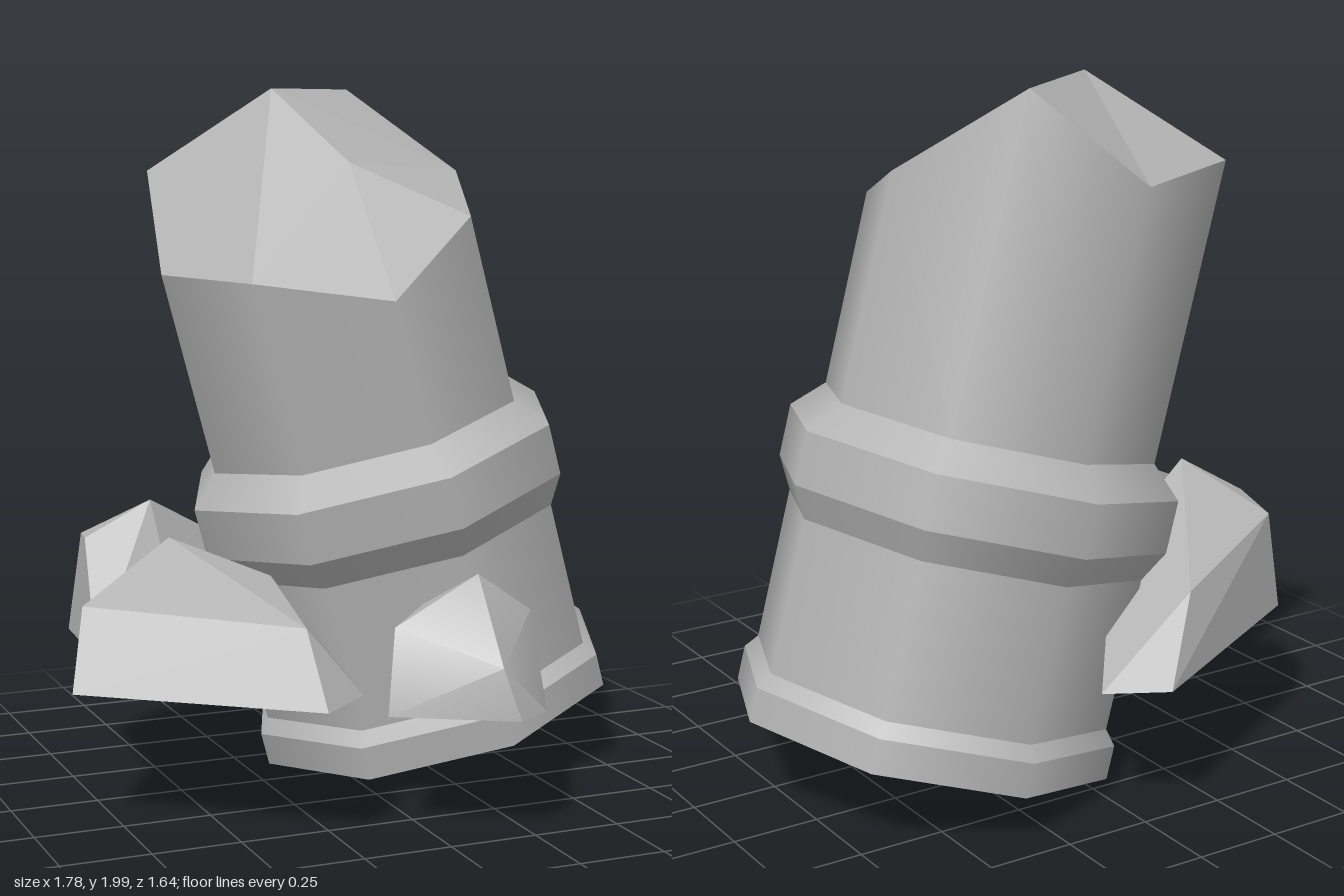
import * as THREE from 'three';
import { toCreasedNormals } from 'three/addons/utils/BufferGeometryUtils.js';
import { ConvexGeometry } from 'three/addons/geometries/ConvexGeometry.js';

const stone = new THREE.MeshStandardMaterial({ color: 0xb4b4b4, side: THREE.DoubleSide });
stone.name = 'grey stone';

const SIDES = 8;
const SHAFT_RADIUS = 0.482;

// Heights of the broken rim, starting at the front and going round by the left side
const RIM = [1.315, 1.452, 1.537, 1.823, 1.645, 1.757, 1.5, 1.456];

function addMesh(parent, name, geometry) {
  const mesh = new THREE.Mesh(geometry, stone);
  mesh.name = name;
  parent.add(mesh);
  return mesh;
}

// One ring of the column: smooth around, sharp against its neighbours
function band(r0, y0, r1, y1) {
  return new THREE.LatheGeometry([new THREE.Vector2(r0, y0), new THREE.Vector2(r1, y1)], SIDES);
}

// Upper shaft whose top edge follows the broken rim
function brokenShaft() {
  const geometry = band(SHAFT_RADIUS, 0.9, SHAFT_RADIUS, 1.5);
  const position = geometry.attributes.position;
  for (let i = 0; i <= SIDES; i++) position.setY(i * 2 + 1, RIM[i % SIDES]);
  return geometry;
}

// Faceted break: a fan from the rim to a peak and a lower step
function brokenTop() {
  const rim = RIM.map((y, i) => {
    const a = (i / SIDES) * Math.PI * 2;
    return new THREE.Vector3(Math.sin(a) * SHAFT_RADIUS, y, Math.cos(a) * SHAFT_RADIUS);
  });
  const peak = new THREE.Vector3(0.015, 1.911, -0.1);
  const step = new THREE.Vector3(0.097, 1.672, 0.15);
  const points = [peak, rim[7], step, peak, step, rim[2]];
  for (let i = 0; i < SIDES; i++) {
    points.push(i >= 2 && i <= 6 ? peak : step, rim[i], rim[(i + 1) % SIDES]);
  }
  const geometry = new THREE.BufferGeometry().setFromPoints(points);
  geometry.computeVertexNormals();
  return geometry;
}

// Angular rock spanned by a few corner points
function rock(corners) {
  return new ConvexGeometry(corners.map((c) => new THREE.Vector3(...c)));
}

export function createModel() {
  const model = new THREE.Group();
  model.name = 'broken column';

  // Leaning hollow column
  const column = new THREE.Group();
  column.name = 'column';
  column.position.set(0.36, 0.148, -0.15);
  column.rotation.z = THREE.MathUtils.degToRad(15);
  model.add(column);

  const bands = [
    ['foot', 0.553, 0, 0.553, 0.097],
    ['footBevel', 0.553, 0.097, 0.52, 0.138],
    ['lowerShaft', 0.52, 0.138, 0.52, 0.575],
    ['collarUnderside', 0.52, 0.575, 0.57, 0.665],
    ['collar', 0.57, 0.665, 0.57, 0.815],
    ['collarBevel', 0.57, 0.815, SHAFT_RADIUS, 0.9],
  ];
  for (const [name, ...sizes] of bands) addMesh(column, name, band(...sizes));
  addMesh(column, 'upperShaft', brokenShaft());
  addMesh(column, 'brokenTop', brokenTop());

  // Rubble beside the column
  addMesh(model, 'largeRock', rock([
    [-0.89, 0.39, 0.26], [-0.33, 0.39, 0.7], [-0.19, 0.4, 0.6], [-0.15, 0.4, 0.16],
    [-0.3, 0.4, -0.06], [-0.71, 0.4, -0.05],
    [-0.83, 0.605, 0.16], [-0.34, 0.588, 0.57], [-0.3, 0.655, 0.2], [-0.53, 0.745, 0],
  ]));
  addMesh(model, 'backRock', rock([
    [-0.7, 0.4, -0.45], [-0.03, 0.405, -0.82], [0.13, 0.4, -0.72], [-0.2, 0.4, -0.3],
    [-0.47, 0.4, -0.05], [-0.73, 0.4, -0.06],
    [-0.66, 0.69, -0.44], [-0.7, 0.71, -0.26], [-0.52, 0.82, -0.2],
    [-0.2, 0.61, -0.67], [-0.2, 0.64, -0.3],
  ]));
  addMesh(model, 'smallRock', toCreasedNormals(rock([
    [-0.135, 0.345, 0.64], [0.04, 0.345, 0.38], [0.35, 0.345, 0.53], [0.28, 0.345, 0.75],
    [0.17, 0.345, 0.82], [0.13, 0.485, 0.79], [0.17, 0.69, 0.55], [0.33, 0.577, 0.55],
    [-0.09, 0.57, 0.58], [0.05, 0.6, 0.46],
  ]), 0.7));

  return model;
}
